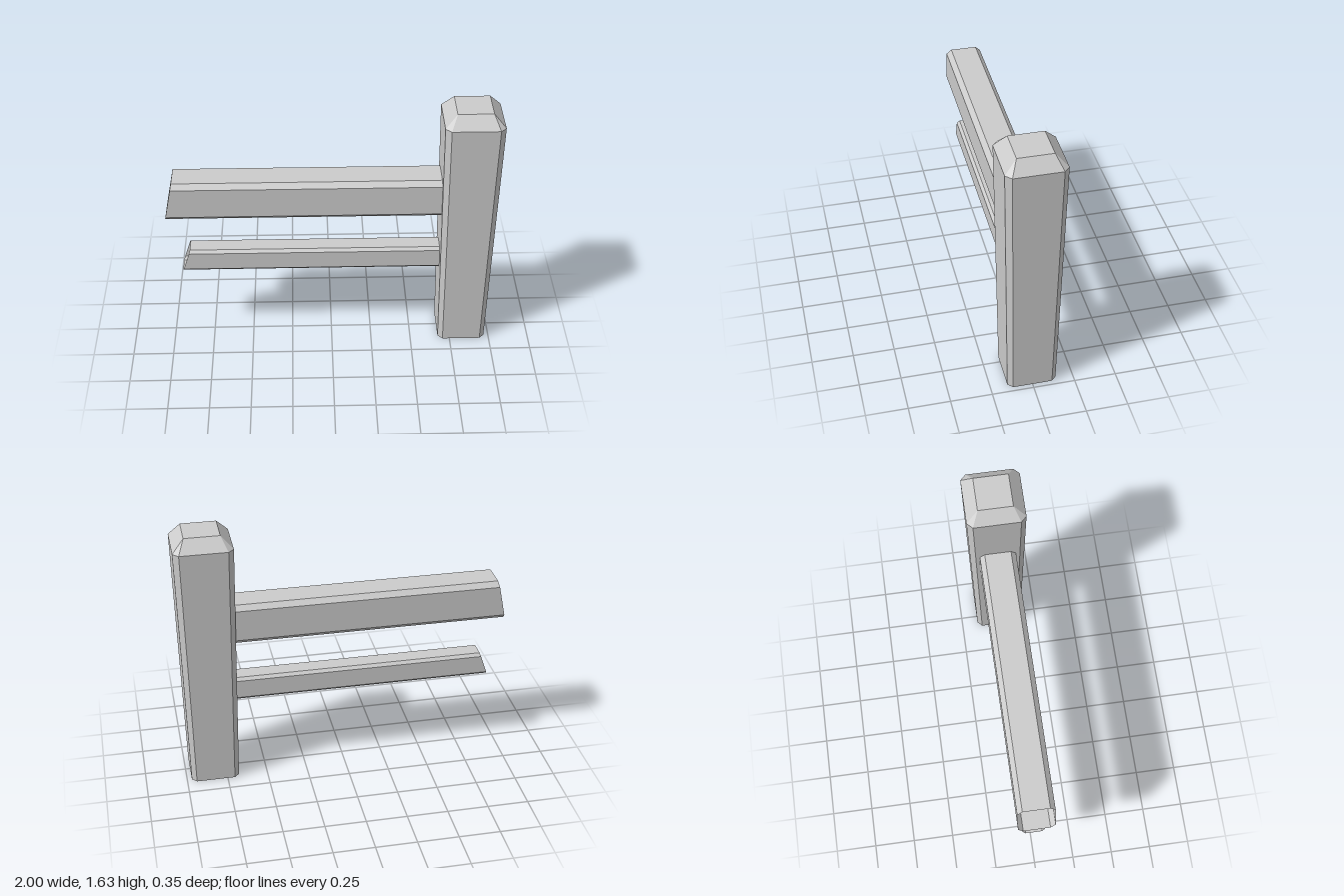
import * as THREE from 'three';

const material = new THREE.MeshStandardMaterial({
  color: 0xcccccc, flatShading: true, side: THREE.DoubleSide,
});

// Rectangle with chamfered corners: half sizes a and b, chamfer c (counter-clockwise)
function octagon(a, b, c) {
  return [
    [a, -b + c], [a, b - c], [a - c, b], [-a + c, b],
    [-a, b - c], [-a, -b + c], [-a + c, -b], [a - c, -b],
  ];
}

// Skin through rings of eight points, optionally closing the last ring
function loft(name, rings, closeEnd) {
  const pos = [];
  const tri = (...pts) => pts.forEach((p) => pos.push(...p));
  for (let r = 0; r < rings.length - 1; r++) {
    const lo = rings[r], hi = rings[r + 1];
    for (let i = 0; i < 8; i++) {
      const j = (i + 1) % 8;
      tri(lo[i], lo[j], hi[j]);
      tri(lo[i], hi[j], hi[i]);
    }
  }
  if (closeEnd) {
    const end = rings[rings.length - 1];
    for (let i = 1; i < 7; i++) tri(end[0], end[i], end[i + 1]);
  }
  const geometry = new THREE.BufferGeometry();
  geometry.setAttribute('position', new THREE.Float32BufferAttribute(pos, 3));
  geometry.computeVertexNormals();
  const mesh = new THREE.Mesh(geometry, material);
  mesh.name = name;
  return mesh;
}

// Open-ended rail along x whose free end is cut at a slant
function rail(name, { bottom, top, halfDepth, chamfer, xBottom, xTop, xEnd }) {
  const mid = (bottom + top) / 2, half = (top - bottom) / 2;
  const profile = octagon(half, halfDepth, chamfer);
  const slant = (y) => xBottom + (xTop - xBottom) * (y + half) / (2 * half);
  return loft(name, [
    profile.map(([y, z]) => [slant(y), mid + y, z]),
    profile.map(([y, z]) => [xEnd, mid + y, z]),
  ], false);
}

export function createModel() {
  const model = new THREE.Group();
  model.name = 'fenceSection';

  // Post widening upward, bevelled to a flat cap, open underneath
  const postX = 0.824;
  const postRings = [
    [0, 0.147, 0.147, 0.029],
    [1.56, 0.175, 0.175, 0.034],
    [1.635, 0.105, 0.104, 0],
  ].map(([y, a, b, c]) => octagon(a, b, c).map(([x, z]) => [postX + x, y, -z]));
  model.add(loft('post', postRings, true));

  // Two horizontal rails running into the post
  model.add(rail('upperRail', {
    bottom: 0.918, top: 1.17, halfDepth: 0.11, chamfer: 0.03,
    xBottom: -1, xTop: -0.95, xEnd: 0.67,
  }));
  model.add(rail('lowerRail', {
    bottom: 0.51, top: 0.66, halfDepth: 0.068, chamfer: 0.018,
    xBottom: -0.92, xTop: -0.87, xEnd: 0.68,
  }));

  return model;
}
